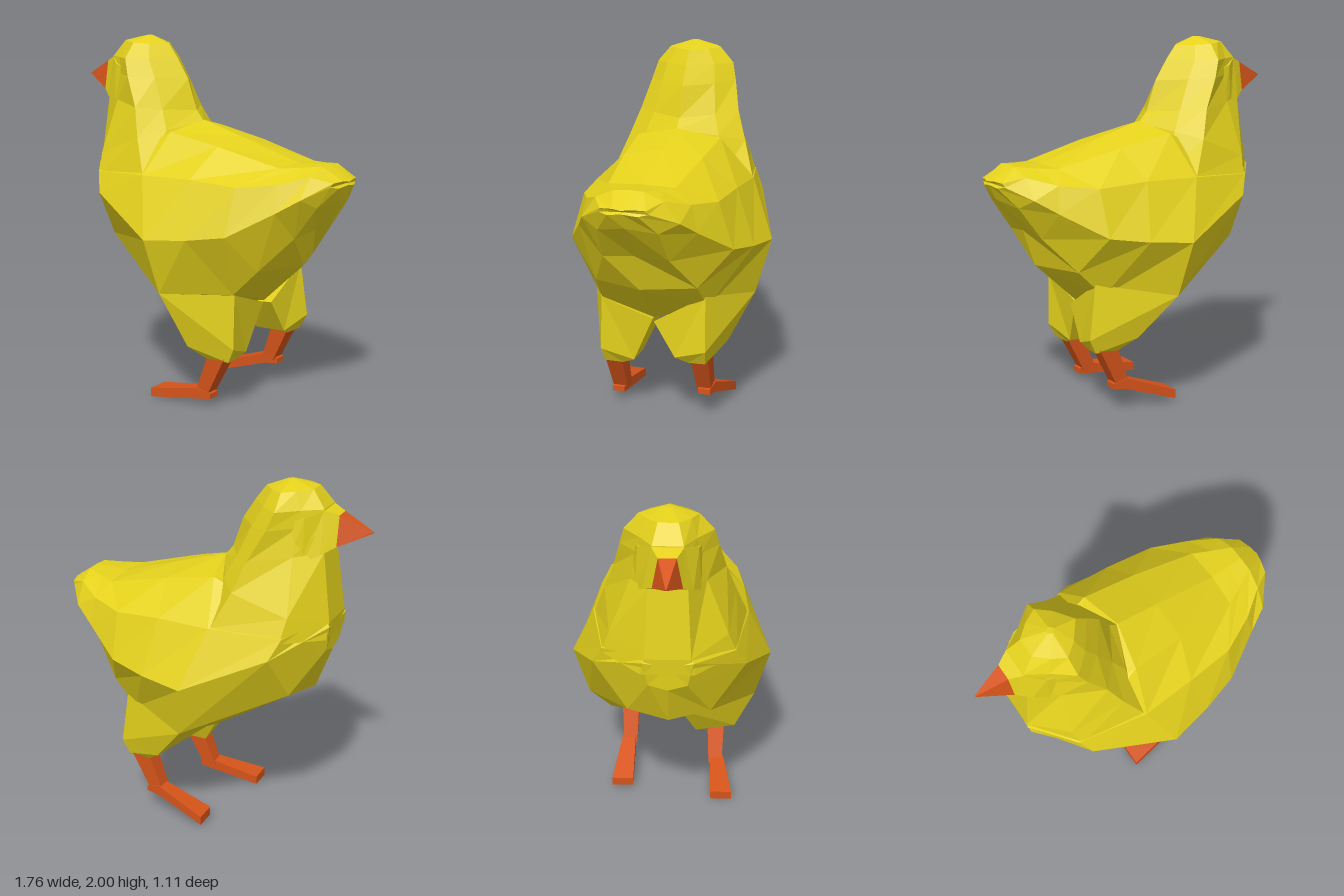
import * as THREE from 'three';

const yellow = new THREE.MeshStandardMaterial({ color: 0xe4d11c });
yellow.name = 'yellow down';
const orange = new THREE.MeshStandardMaterial({ color: 0xd6541a });
orange.name = 'orange beak and legs';

// Faceted skin over a row of equal-length rings, capped at both ends.
function loft(name, rings, material) {
  const tris = [];
  const n = rings[0].length;
  for (let i = 0; i < rings.length - 1; i++) {
    for (let j = 0; j < n; j++) {
      const k = (j + 1) % n;
      const [a, b, c, d] = [rings[i][j], rings[i][k], rings[i + 1][k], rings[i + 1][j]];
      tris.push([a, b, c], [a, c, d]);
    }
  }
  const cap = (ring, flip) => {
    const mid = [0, 1, 2].map(q => ring.reduce((s, p) => s + p[q], 0) / n);
    ring.forEach((p, j) => {
      const next = ring[(j + 1) % n];
      tris.push(flip ? [mid, next, p] : [mid, p, next]);
    });
  };
  cap(rings[0], true);
  cap(rings[rings.length - 1], false);

  // Turn all faces outward: the signed volume must be positive.
  const v = p => new THREE.Vector3(...p);
  const volume = tris.reduce((s, [a, b, c]) => s + v(a).dot(v(b).cross(v(c))), 0);
  if (volume < 0) tris.forEach(t => t.reverse());

  const geometry = new THREE.BufferGeometry();
  geometry.setAttribute('position', new THREE.Float32BufferAttribute(tris.flat(2), 3));
  geometry.computeVertexNormals();
  const mesh = new THREE.Mesh(geometry, material);
  mesh.name = name;
  return mesh;
}

// Closes a half section by mirroring its off-centre points across z = 0.
const mirror = half => [
  ...half,
  ...half.filter(p => p[2] !== 0).reverse().map(([x, y, z]) => [x, y, -z]),
];

function makeBody() {
  // Half sections from chest to tail: belly, low side, widest, shoulder, back edge, spine.
  const sections = [
    [[-0.69, 1.1, 0], [-0.69, 1.13, 0.1], [-0.71, 1.27, 0.13], [-0.69, 1.3, 0.12], [-0.69, 1.3, 0.05], [-0.69, 1.3, 0]],
    [[-0.6, 0.86, 0], [-0.53, 0.88, 0.22], [-0.48, 1.14, 0.4], [-0.53, 1.25, 0.345], [-0.45, 1.33, 0.2], [-0.4, 1.35, 0]],
    [[0, 0.49, 0], [0, 0.65, 0.475], [-0.04, 0.95, 0.555], [-0.15, 1.27, 0.42], [-0.1, 1.49, 0.24], [-0.05, 1.54, 0]],
    [[0.36, 0.57, 0], [0.36, 0.66, 0.3], [0.2, 0.97, 0.51], [0.15, 1.27, 0.4], [0.2, 1.43, 0.22], [0.2, 1.465, 0]],
    [[0.61, 0.8, 0], [0.5, 0.8, 0.28], [0.41, 1.0, 0.45], [0.42, 1.25, 0.37], [0.56, 1.34, 0.18], [0.57, 1.35, 0]],
    [[0.68, 1.0, 0], [0.66, 0.98, 0.18], [0.63, 1.13, 0.32], [0.61, 1.27, 0.28], [0.66, 1.345, 0.13], [0.67, 1.355, 0]],
    [[0.83, 1.18, 0], [0.78, 1.15, 0.16], [0.74, 1.2, 0.26], [0.75, 1.31, 0.18], [0.76, 1.355, 0.08], [0.76, 1.36, 0]],
    [[0.87, 1.26, 0], [0.86, 1.25, 0.08], [0.84, 1.26, 0.13], [0.85, 1.28, 0.12], [0.87, 1.285, 0.05], [0.88, 1.28, 0]],
  ];
  return loft('body', sections.map(mirror), yellow);
}

function makeHead() {
  // Tilted rings going up: front x, front y, back x, back y, half width,
  // fullness of the cheek, and how far back the side crease lies.
  const rings = [
    [-0.7, 1.2, 0.02, 1.3, 0.41, 0.86, 0.75],
    [-0.705, 1.29, -0.05, 1.53, 0.345, 0.88, 0.7],
    [-0.655, 1.66, -0.1, 1.59, 0.29, 0.66, 0.63],
    [-0.65, 1.8, -0.16, 1.76, 0.25, 0.62, 0.53],
    [-0.64, 1.88, -0.23, 1.87, 0.225, 0.62, 0.52],
    [-0.57, 1.97, -0.29, 1.95, 0.15, 0.75, 0.5],
    [-0.45, 2.0, -0.41, 2.0, 0.02, 0.75, 0.5],
  ];
  return loft('neckAndHead', rings.map(([xf, yf, xb, yb, w, cheek, crease]) => mirror(
    [[0, 0.34], [0.25, cheek], [crease, 1], [(1 + crease) / 2, 0.62], [1, 0]]
      .map(([t, s]) => [xf + (xb - xf) * t, yf + (yb - yf) * t, w * s]))), yellow);
}

// Four corners of an upright slice facing along x.
const slice = (x, top, bottom, wTop, wBottom) =>
  [[x, top, wTop], [x, bottom, wBottom], [x, bottom, -wBottom], [x, top, -wTop]];

// Flat four-cornered ring used for the shins.
const pad = (x0, x1, y, z0, z1) => [[x0, y, z1], [x1, y, z1], [x1, y, z0], [x0, y, z0]];

// One leg; side mirrors it, and dx, dy shift the knee back and up in the stride.
function makeLeg(name, side, dx, dy, toe, heel) {
  const leg = new THREE.Group();
  leg.name = name;
  const place = rings => rings.map(r => r.map(([x, y, z]) => [x, y, z * side]));
  const shift = ring => ring.map(([x, y, z]) => [x + dx, y + dy, z]);

  leg.add(loft('thigh', place([
    [[0, 0.65, 0.475], [0.37 + dx / 2, 0.66 + dy, 0.3], [0.36 + dx / 2, 0.56, 0.01], [0, 0.52, 0.05]],
    shift([[0.11, 0.35, 0.37], [0.37, 0.36, 0.31], [0.33, 0.3, 0.13], [0.14, 0.29, 0.14]]),
    shift([[0.2, 0.28, 0.31], [0.33, 0.28, 0.3], [0.31, 0.27, 0.2], [0.18, 0.27, 0.2]]),
  ]), yellow));

  const [hx, hy] = heel;
  leg.add(loft('shin', place([
    shift(pad(0.2, 0.31, 0.3, 0.21, 0.31)),
    pad(hx - 0.1, hx - 0.02, hy - 0.01, 0.22, 0.3),
  ]), orange));

  // Foot plank, widening toward the toe
  const [tx, ty] = toe;
  const across = (x, y, h, z0, z1) => [[x, y + h, z1], [x, y, z1], [x, y, z0], [x, y + h, z0]];
  leg.add(loft('foot', place([
    across(hx, hy - 0.03, 0.03, 0.23, 0.3),
    across(hx - 0.08, hy - 0.04, 0.06, 0.23, 0.31),
    across(tx, ty, 0.05, 0.23, 0.355),
  ]), orange));
  return leg;
}

export function createModel() {
  const chick = new THREE.Group();
  chick.name = 'chick';
  chick.add(makeBody(), makeHead());

  // Cheeks and brow narrowing to the beak
  chick.add(loft('face', [
    slice(-0.48, 1.82, 1.57, 0.17, 0.2),
    slice(-0.56, 1.84, 1.61, 0.15, 0.165),
    slice(-0.64, 1.875, 1.65, 0.08, 0.125),
    slice(-0.71, 1.85, 1.69, 0.045, 0.075),
  ], yellow));
  chick.add(loft('beak', [
    slice(-0.71, 1.85, 1.69, 0.045, 0.075),
    slice(-0.88, 1.772, 1.766, 0.003, 0.003),
  ], orange));

  chick.add(makeLeg('forwardLeg', 1, 0, 0, [-0.16, 0.005], [0.21, 0.08]));
  chick.add(makeLeg('trailingLeg', -1, 0.08, 0.07, [-0.07, 0.025], [0.3, 0.16]));
  return chick;
}
